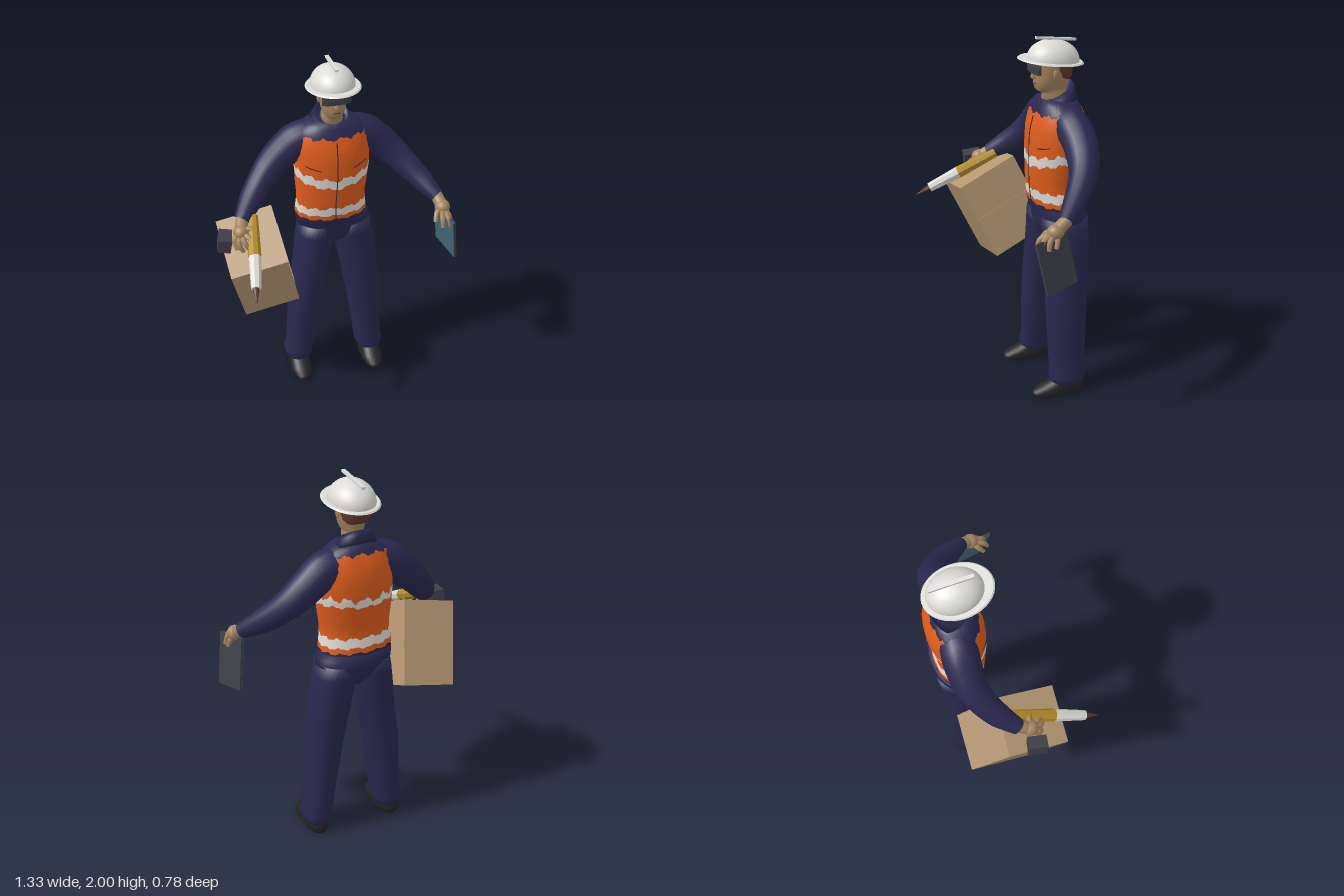
import * as THREE from 'three';

const V = (x, y, z) => new THREE.Vector3(x, y, z);
const paint = (name, color) => {
  const m = new THREE.MeshStandardMaterial({ color });
  m.name = name;
  return m;
};

export function createModel() {
  const model = new THREE.Group();
  model.name = 'worker';
  const skin = paint('skin', 0xa4845f), navy = paint('navy cloth', 0x29284f), orange = paint('orange vest', 0xdf5c1b);
  const white = paint('white', 0xdcdbd6), black = paint('black', 0x232323), grey = paint('dark grey', 0x3f4047);
  const card = paint('cardboard', 0xb59773), yellow = paint('yellow', 0xb08c22);
  const brown = paint('red brown', 0x603629), teal = paint('screen', 0x456a7a);

  const add = (name, geo, mat, parent = model) => {
    const mesh = new THREE.Mesh(geo, mat);
    mesh.name = name;
    parent.add(mesh);
    return mesh;
  };
  const flat = (geo) => {
    const g = geo.toNonIndexed();
    g.computeVertexNormals();
    return g;
  };

  // Closed skin through rows of points; bandOf(row) picks a material group
  const skinRows = (rows, seg, at, bandOf) => {
    const pos = [], idx = [], g = new THREE.BufferGeometry();
    for (let i = 0; i < rows; i++)
      for (let j = 0; j < seg; j++) pos.push(...at(i, (j / seg) * Math.PI * 2));
    for (let i = 0; i < rows - 1; i++) {
      const start = idx.length;
      for (let j = 0; j < seg; j++) {
        const k = (j + 1) % seg, a = i * seg, b = a + seg;
        idx.push(a + j, a + k, b + k, a + j, b + k, b + j);
      }
      if (bandOf) g.addGroup(start, idx.length - start, bandOf(i));
    }
    const capStart = idx.length;
    for (const r of [0, rows - 1]) {
      const c = pos.length / 3, mid = [0, 0, 0];
      for (let j = 0; j < seg; j++) for (let k = 0; k < 3; k++) mid[k] += pos[(r * seg + j) * 3 + k] / seg;
      pos.push(...mid);
      for (let j = 0; j < seg; j++) {
        const p = r * seg + j, q = r * seg + ((j + 1) % seg);
        if (r) idx.push(c, p, q); else idx.push(c, q, p);
      }
    }
    if (bandOf) g.addGroup(capStart, idx.length - capStart, 0);
    g.setAttribute('position', new THREE.Float32BufferAttribute(pos, 3));
    g.setIndex(idx);
    g.computeVertexNormals();
    return g;
  };
  // Ring format: y, centre x, half width, front z, back z
  const ringPoint = ([y, cx, hx, zf, zb], a) => {
    const c = Math.cos(a), s = Math.sin(a), sq = (v) => Math.sign(v) * Math.abs(v) ** 0.9;
    return [cx + hx * sq(s), y, (zf + zb) / 2 + ((zf - zb) / 2) * sq(c)];
  };
  const sample = (rings, y) => {
    let i = 0;
    while (i < rings.length - 2 && rings[i + 1][0] < y) i++;
    const a = rings[i], b = rings[i + 1];
    const t = THREE.MathUtils.clamp((y - a[0]) / (b[0] - a[0]), 0, 1);
    return a.map((v, k) => v + (b[k] - v) * t);
  };
  const loft = (rings, seg = 28) => skinRows(rings.length, seg, (i, a) => ringPoint(rings[i], a));

  // Tube through points with a radius at each
  const limb = (pts, seg = 16, steps = 32) => {
    const curve = new THREE.CatmullRomCurve3(pts.map((p) => V(p[0], p[1], p[2])));
    const g = new THREE.TubeGeometry(curve, steps, 1, seg), p = g.attributes.position, v = V();
    for (let i = 0; i <= steps; i++) {
      const c = curve.getPointAt(i / steps), f = (i / steps) * (pts.length - 1);
      const k = Math.min(Math.floor(f), pts.length - 2);
      const r = THREE.MathUtils.lerp(pts[k][3], pts[k + 1][3], f - k);
      for (let j = 0; j <= seg; j++) {
        const n = i * (seg + 1) + j;
        v.fromBufferAttribute(p, n).sub(c).multiplyScalar(r).add(c);
        p.setXYZ(n, v.x, v.y, v.z);
      }
    }
    return g;
  };
  const blob = (name, mat, pos, size, parent) => {
    const m = add(name, new THREE.SphereGeometry(1, 24, 16), mat, parent);
    m.position.set(...pos);
    m.scale.set(...size);
    return m;
  };
  const orient = (obj, ex, ey, pos) => {
    const x = ex.clone().normalize(), z = x.clone().cross(ey).normalize();
    obj.quaternion.setFromRotationMatrix(new THREE.Matrix4().makeBasis(x, z.clone().cross(x), z));
    obj.position.copy(pos);
  };

  // Torso with ragged orange and white vest bands
  const torso = [
    [1.06, 0.02, 0.198, -0.108, -0.375], [1.1, 0.015, 0.2, -0.1, -0.37], [1.2, 0.012, 0.187, -0.09, -0.355],
    [1.3, 0.017, 0.198, -0.085, -0.37], [1.4, 0.022, 0.205, -0.082, -0.385], [1.5, 0.022, 0.205, -0.087, -0.388],
    [1.58, 0.022, 0.2, -0.105, -0.375], [1.63, 0.022, 0.175, -0.13, -0.355], [1.665, 0.022, 0.12, -0.15, -0.335],
    [1.68, 0.022, 0.06, -0.185, -0.31]];
  const jag = (a, k) => 0.007 * Math.sin(13 * a + k) + 0.004 * Math.sin(31 * a + 2 * k);
  const back = (a) => (1 - Math.cos(a)) / 2;
  const edges = [
    () => 1.06, (a) => 1.1 + jag(a, 1) * 0.7, (a) => 1.128 + jag(a, 2) * 0.7, (a) => 1.178 + jag(a, 3),
    (a) => 1.305 + 0.03 * Math.abs(Math.sin(a)) + 0.05 * back(a) + jag(a, 4),
    (a) => 1.36 + 0.03 * Math.abs(Math.sin(a)) + 0.035 * back(a) + jag(a, 5) * (1.3 + 0.9 * back(a)),
    (a) => 1.598 + 0.035 * back(a) + jag(a, 6), () => 1.68];
  const steps = 5, bands = edges.length - 1;
  add('torso', skinRows(bands * steps + 1, 96, (i, a) => {
    const b = Math.min(Math.floor(i / steps), bands - 1), t = i / steps - b;
    return ringPoint(sample(torso, THREE.MathUtils.lerp(edges[b](a), edges[b + 1](a), t)), a);
  }, (i) => [0, 1, 2, 1, 2, 1, 0][Math.floor(i / steps)]), [navy, orange, white]);

  // Zip and pocket seams
  const seam = (name, list) => add(name, limb(list.map(([y, a]) => [...ringPoint(sample(torso, y), a), 0.003]), 5, 20), navy);
  seam('zip', [1.1, 1.2, 1.3, 1.4, 1.5, 1.58].map((y) => [y, 0]));
  for (const s of [-1, 1]) seam('pocketSeam', [[1.445, s * 0.9], [1.435, s * 0.65], [1.425, s * 0.4]]);

  // Collar, higher at the back
  const collar = [[1.63, 0.125, 0.11], [1.68, 0.096, 0.096], [1.705, 0.077, 0.086], [1.66, 0.07, 0.078]];
  add('collar', skinRows(4, 32, (i, a) => {
    const [y, rx, rz] = collar[i], z = Math.cos(a) * rz;
    return [0.022 + Math.sin(a) * rx, y - z * 0.55, z - 0.235];
  }), navy);

  // Trousers and shoes
  add('trouserSeat', loft([[0.9, 0.033, 0.03, -0.17, -0.33], [0.935, 0.033, 0.085, -0.135, -0.36], [0.98, 0.034, 0.17, -0.119, -0.378],
    [1.02, 0.034, 0.208, -0.115, -0.39], [1.06, 0.025, 0.206, -0.108, -0.385], [1.1, 0.015, 0.195, -0.105, -0.365]], 40), navy);
  const legs = {
    right: [[0.055, -0.19, 0.066, -0.15, -0.32], [0.08, -0.19, 0.078, -0.13, -0.33], [0.11, -0.192, 0.082, -0.125, -0.335],
      [0.15, -0.18, 0.08, -0.13, -0.335], [0.3, -0.165, 0.086, -0.125, -0.338], [0.5, -0.145, 0.095, -0.12, -0.35],
      [0.7, -0.11, 0.1, -0.118, -0.358], [0.87, -0.083, 0.106, -0.12, -0.372], [0.96, -0.071, 0.106, -0.118, -0.377],
      [1.03, -0.065, 0.1, -0.118, -0.375]],
    left: [[0.055, 0.243, 0.066, -0.15, -0.32], [0.08, 0.243, 0.078, -0.13, -0.33], [0.11, 0.244, 0.082, -0.125, -0.335],
      [0.15, 0.235, 0.08, -0.13, -0.335], [0.3, 0.222, 0.086, -0.125, -0.338], [0.5, 0.203, 0.098, -0.12, -0.35],
      [0.7, 0.178, 0.107, -0.118, -0.358], [0.87, 0.153, 0.115, -0.12, -0.372], [0.96, 0.137, 0.113, -0.118, -0.377],
      [1.03, 0.13, 0.105, -0.118, -0.375]] };
  for (const side in legs) {
    add(side + 'TrouserLeg', loft(legs[side]), navy);
    const x = side === 'left' ? 0.245 : -0.195;
    add(side + 'Shoe', loft([[0, x, 0.055, -0.04, -0.32], [0.015, x, 0.064, -0.022, -0.33], [0.035, x, 0.064, -0.024, -0.333],
      [0.055, x, 0.06, -0.06, -0.33], [0.08, x, 0.054, -0.13, -0.325], [0.11, x, 0.05, -0.17, -0.32]]), black);
  }

  // Sleeves
  add('rightSleeve', limb([[-0.06, 1.57, -0.25, 0.09], [-0.15, 1.55, -0.255, 0.096], [-0.23, 1.49, -0.255, 0.088],
    [-0.325, 1.4, -0.235, 0.074], [-0.42, 1.3, -0.165, 0.065], [-0.51, 1.21, -0.06, 0.043]]), navy);
  add('leftSleeve', limb([[0.1, 1.57, -0.25, 0.09], [0.195, 1.55, -0.255, 0.096], [0.275, 1.49, -0.26, 0.087],
    [0.37, 1.4, -0.24, 0.073], [0.47, 1.3, -0.165, 0.063], [0.57, 1.2, -0.05, 0.041]]), navy);

  // Hands with curled fingers
  const hand = (name, wrist, palm, fingers) => {
    const g = new THREE.Group();
    g.name = name;
    model.add(g);
    add('wrist', limb([[...wrist, 0.034], [...palm, 0.034]], 12, 6), skin, g);
    blob('palm', skin, palm, [0.041, 0.04, 0.044], g);
    for (const f of fingers)
      add('finger', limb([[...palm, 0.016], [...f[0], 0.015], [...f[1], 0.011]], 8, 10), skin, g);
  };
  hand('rightHand', [-0.505, 1.215, -0.065], [-0.525, 1.18, 0], [
    [[-0.47, 1.2, 0.01], [-0.435, 1.17, 0.04]], [[-0.485, 1.17, 0.06], [-0.45, 1.12, 0.075]],
    [[-0.515, 1.15, 0.065], [-0.48, 1.095, 0.07]], [[-0.545, 1.14, 0.05], [-0.52, 1.085, 0.06]],
    [[-0.565, 1.15, 0.02], [-0.555, 1.1, 0.045]]]);
  hand('leftHand', [0.565, 1.21, -0.06], [0.585, 1.165, 0.01], [
    [[0.545, 1.15, 0.04], [0.53, 1.11, 0.07]], [[0.565, 1.13, 0.085], [0.565, 1.09, 0.1]],
    [[0.6, 1.13, 0.08], [0.61, 1.085, 0.09]], [[0.612, 1.13, 0.05], [0.622, 1.085, 0.06]],
    [[0.61, 1.13, 0.01], [0.622, 1.09, 0.02]]]);

  // Head
  add('head', loft([[1.62, 0.022, 0.062, -0.148, -0.3], [1.7, 0.022, 0.056, -0.16, -0.288], [1.713, 0.022, 0.045, -0.13, -0.286],
    [1.725, 0.022, 0.052, -0.117, -0.286], [1.75, 0.022, 0.062, -0.109, -0.288], [1.78, 0.022, 0.068, -0.109, -0.297],
    [1.81, 0.022, 0.073, -0.112, -0.304], [1.86, 0.022, 0.075, -0.108, -0.306], [1.91, 0.022, 0.07, -0.125, -0.3]]), skin);
  add('nose', loft([[1.782, 0.022, 0.013, -0.094, -0.13], [1.79, 0.022, 0.015, -0.088, -0.13], [1.83, 0.022, 0.008, -0.1, -0.13]], 12), skin);
  add('mouth', new THREE.BoxGeometry(0.04, 0.004, 0.006), brown).position.set(0.022, 1.757, -0.11);
  for (const s of [-1, 1]) blob('ear', skin, [0.022 + s * 0.076, 1.81, -0.2], [0.008, 0.025, 0.016]);
  add('hair', loft([[1.775, 0.022, 0.055, -0.25, -0.302], [1.79, 0.022, 0.072, -0.215, -0.312],
    [1.82, 0.022, 0.077, -0.185, -0.317], [1.9, 0.022, 0.08, -0.14, -0.318]]), brown);
  add('goggles', loft([[1.813, 0.022, 0.07, -0.095, -0.125], [1.815, 0.022, 0.077, -0.088, -0.13],
    [1.857, 0.022, 0.078, -0.088, -0.13], [1.86, 0.022, 0.072, -0.095, -0.125]]), grey);

  // Hard hat, tipped slightly back
  const hat = new THREE.Group();
  hat.name = 'hardHat';
  hat.position.set(0.025, 1.873, -0.2);
  hat.rotation.x = -0.12;
  model.add(hat);
  const dome = add('dome', new THREE.SphereGeometry(1, 36, 12, 0, Math.PI * 2, 0, Math.PI / 2), white, hat);
  dome.scale.set(0.118, 0.108, 0.143);
  dome.position.set(0, 0, -0.013);
  const brim = add('brim', new THREE.CylinderGeometry(0.96, 1, 1, 40), white, hat);
  brim.scale.set(0.144, 0.007, 0.18);
  const ridge = add('ridge', new THREE.BoxGeometry(0.02, 0.012, 0.225), white, hat);
  ridge.position.set(0, 0.111, -0.014);

  // Cardboard box with a tape strip on its inner side
  const carton = new THREE.Group();
  carton.name = 'carton';
  model.add(carton);
  add('cartonBody', new THREE.BoxGeometry(0.31, 0.462, 0.36), card, carton);
  add('tape', new THREE.BoxGeometry(0.004, 0.035, 0.36), card, carton).position.x = 0.156;
  orient(carton, V(0.303, 0.063, 0.007), V(-0.106, 0.41, 0.185), V(-0.43, 0.92, -0.069));

  // Tablet, screen facing inward
  const tablet = new THREE.Group();
  tablet.name = 'tablet';
  model.add(tablet);
  add('tabletBody', new THREE.BoxGeometry(0.014, 0.28, 0.192), grey, tablet);
  add('screen', new THREE.BoxGeometry(0.004, 0.278, 0.19), teal, tablet).position.x = -0.008;
  orient(tablet, V(0.052, 0.01, -0.0125), V(-0.04, 0.273, 0.05), V(0.613, 1.006, 0.013));

  // Small device on the right wrist
  const device = add('device', new THREE.BoxGeometry(0.07, 0.08, 0.1), grey);
  device.position.set(-0.615, 1.145, 0.01);
  device.rotation.set(0.1, -0.15, -0.15);

  // Marking tool with grip, barrel and pointed tip
  const tool = new THREE.Group();
  tool.name = 'markingTool';
  const end = V(-0.445, 1.22, -0.07), tip = V(-0.52, 1.0, 0.39), dir = tip.clone().sub(end), len = dir.length();
  tool.position.copy(end);
  tool.quaternion.setFromUnitVectors(V(0, 1, 0), dir.normalize());
  model.add(tool);
  for (const [name, mat, from, to, r0, r1] of [['grip', yellow, 0, 0.47, 0.026, 0.035],
    ['barrel', white, 0.47, 0.83, 0.034, 0.027], ['tip', brown, 0.83, 1, 0.018, 0.001]])
    add(name, flat(new THREE.CylinderGeometry(r1, r0, (to - from) * len, 8)), mat, tool).position.y = ((from + to) / 2) * len;

  return model;
}
